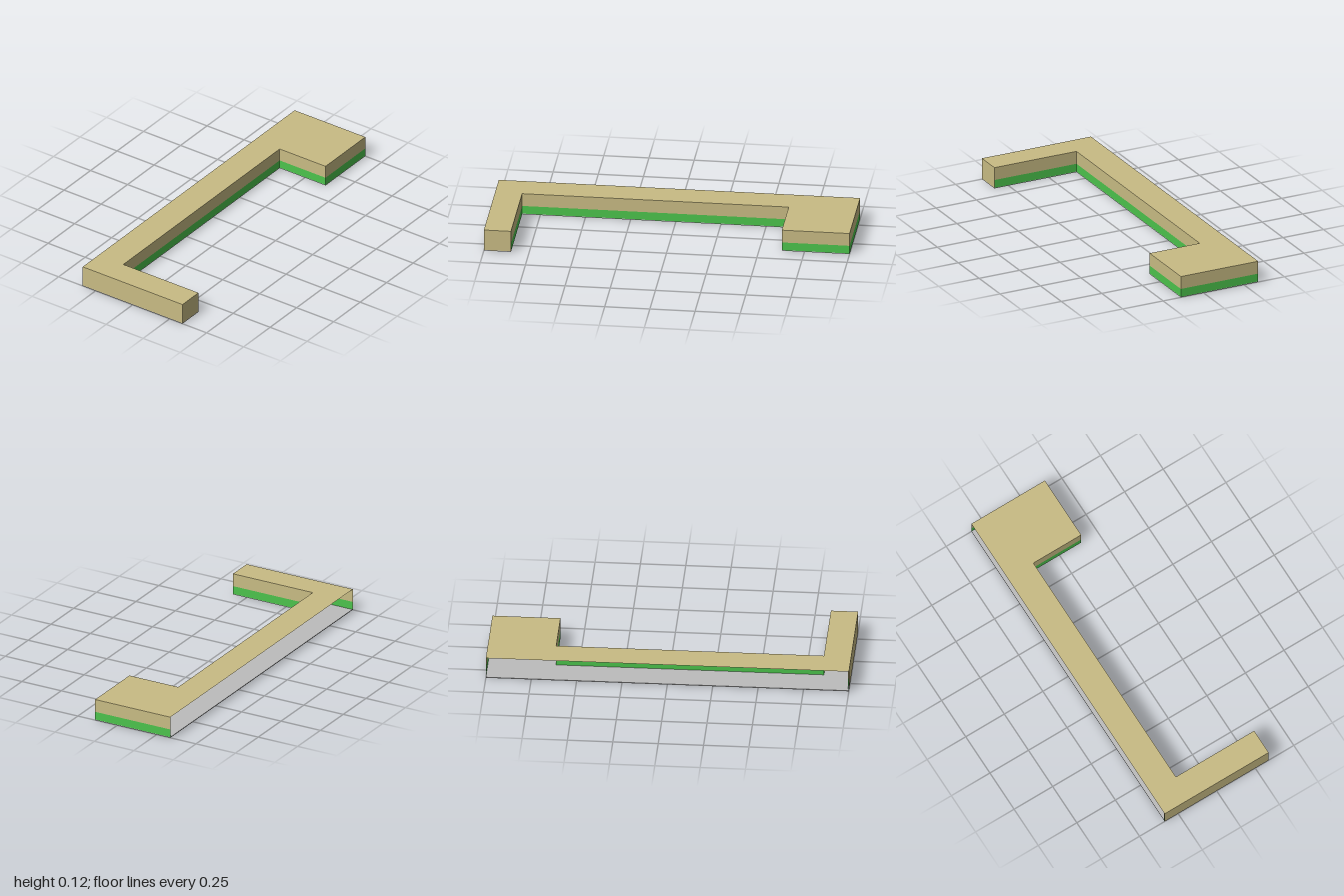
import * as THREE from 'three';

const FLOOR = 0.004, BAND = 0.05, TOP = 0.124;

// Plan outline as [x, z], starting at the back corner of the open long side
const OUTLINE = [
  [-0.337, -1], [0.14, -1], [0.14, -0.625], [-0.17, -0.625],
  [-0.17, 0.85], [0.337, 0.85], [0.337, 1], [-0.337, 1],
];

// Upright wall following a plan path between two heights
function wallGeometry(path, y0, y1) {
  const v = [];
  for (let i = 0; i < path.length - 1; i++) {
    const [ax, az] = path[i], [bx, bz] = path[i + 1];
    v.push(ax, y0, az, ax, y1, az, bx, y1, bz);
    v.push(ax, y0, az, bx, y1, bz, bx, y0, bz);
  }
  const g = new THREE.BufferGeometry();
  g.setAttribute('position', new THREE.Float32BufferAttribute(v, 3));
  g.computeVertexNormals();
  return g;
}

export function createModel() {
  const material = (name, color) =>
    new THREE.MeshStandardMaterial({ name, color, side: THREE.DoubleSide });
  const tan = material('tan', 0xc9bc84);
  const green = material('green', 0x4cc44c);
  const grey = material('grey', 0xbdbdbd);

  const group = new THREE.Group();
  const add = (name, geometry, mat) => {
    const mesh = new THREE.Mesh(geometry, mat);
    mesh.name = name;
    group.add(mesh);
    return mesh;
  };

  const plan = new THREE.Shape(OUTLINE.map(([x, z]) => new THREE.Vector2(x, -z)));

  // Thin base plate and flat roof share the same plan
  add('basePlate', new THREE.ExtrudeGeometry(plan, { depth: FLOOR, bevelEnabled: false })
    .rotateX(-Math.PI / 2), grey);
  add('roof', new THREE.ShapeGeometry(plan).rotateX(-Math.PI / 2), tan).position.y = TOP;

  // Two-tone walls round the back and the inner sides; the long -x side stays open
  const walls = OUTLINE.slice(0, 6);
  add('lowerWall', wallGeometry(walls, FLOOR, BAND), green);
  add('upperWall', wallGeometry(walls, BAND, TOP), tan);

  // Plain facade on the front and the end of the front wing
  add('facade', wallGeometry(OUTLINE.slice(5), FLOOR, TOP), tan);

  // Two-tone lining just behind the front facade
  const lining = [[0.332, 0.995], [-0.337, 0.995]];
  add('lowerLining', wallGeometry(lining, FLOOR, BAND), green);
  add('upperLining', wallGeometry(lining, BAND, TOP), tan);

  return group;
}
